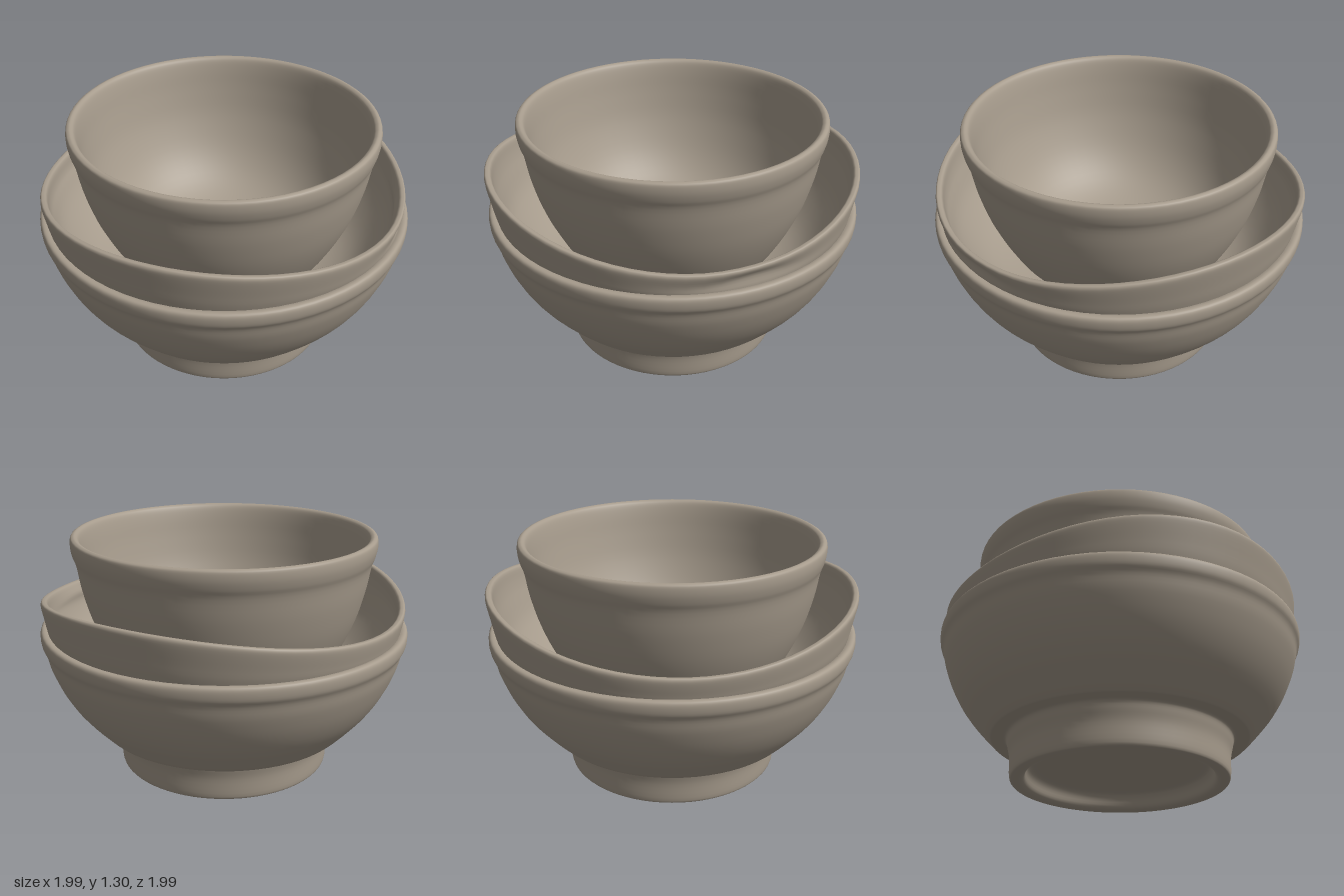
import * as THREE from 'three';
import { mergeVertices } from 'three/addons/utils/BufferGeometryUtils.js';

const clay = new THREE.MeshStandardMaterial({ color: 0xa69b8c });
clay.name = 'clay';

// Smooth closed-wall bowl turned from a profile; warp moves each vertex by a rule
function bowl(name, points, warp) {
  const curve = new THREE.SplineCurve(points.map(([r, y]) => new THREE.Vector2(r, y)));
  const profile = curve.getPoints((points.length - 1) * 4);
  profile.forEach(p => { p.x = Math.max(p.x, 0); });
  profile[0].x = profile[profile.length - 1].x = 0;
  let geo = new THREE.LatheGeometry(profile, 72);
  geo.deleteAttribute('uv');
  geo.deleteAttribute('normal');
  geo = mergeVertices(geo, 1e-5);
  const pos = geo.attributes.position;
  const v = new THREE.Vector3();
  for (let i = 0; warp && i < pos.count; i++) {
    v.fromBufferAttribute(pos, i);
    warp(v);
    pos.setXYZ(i, v.x, v.y, v.z);
  }
  geo.computeVertexNormals();
  const mesh = new THREE.Mesh(geo, clay);
  mesh.name = name;
  return mesh;
}

// Uneven hand-made rim: high at front and back, low at the sides, dented on the left
function saddle(v) {
  const a = Math.atan2(v.z, v.x);
  const w = THREE.MathUtils.smoothstep(v.y, 0.72, 0.96);
  const dent = Math.exp(-(((a + 0.15) / 0.35) ** 2)) * Math.exp(-(((v.y - 0.9) / 0.05) ** 2));
  const wave = -Math.cos(2 * a);
  const s = 1 + 0.012 * w * wave - 0.018 * dent;
  v.x *= s;
  v.z *= s;
  v.y += w * 0.065 * wave - 0.012 * dent * Math.sin(9 * a);
}

export function createModel() {
  const group = new THREE.Group();
  group.name = 'stackedBowls';

  // Large bowl with a recessed foot ring
  group.add(bowl('largeBowl', [
    [0, 0.1], [0.25, 0.1], [0.44, 0.095], [0.485, 0.07], [0.505, 0.02], [0.53, 0.003],
    [0.565, 0.003], [0.583, 0.02], [0.588, 0.12], [0.6, 0.18], [0.612, 0.222], [0.64, 0.23],
    [0.68, 0.23], [0.71, 0.245], [0.83, 0.38], [0.905, 0.5], [0.955, 0.62], [0.975, 0.7],
    [0.993, 0.74], [0.996, 0.785], [0.985, 0.806], [0.96, 0.806], [0.94, 0.785],
    [0.92, 0.68], [0.8, 0.45], [0.6, 0.3], [0.3, 0.27], [0, 0.27],
  ]));

  // Middle bowl with the wavy rim
  group.add(bowl('middleBowl', [
    [0, 0.32], [0.3, 0.32], [0.55, 0.35], [0.78, 0.5], [0.9, 0.66], [0.952, 0.79],
    [0.97, 0.87], [0.984, 0.945], [0.982, 0.97], [0.97, 0.976], [0.95, 0.965],
    [0.94, 0.9], [0.92, 0.83], [0.86, 0.69], [0.71, 0.52], [0.5, 0.43], [0.25, 0.41], [0, 0.41],
  ], saddle));

  // Small top bowl with a rolled lip
  group.add(bowl('smallBowl', [
    [0, 0.42], [0.3, 0.42], [0.45, 0.46], [0.56, 0.55], [0.65, 0.7], [0.72, 0.86],
    [0.765, 1.02], [0.788, 1.15], [0.805, 1.2], [0.814, 1.245], [0.812, 1.285], [0.8, 1.297],
    [0.785, 1.297], [0.768, 1.28], [0.752, 1.22], [0.73, 1.1], [0.69, 0.94], [0.61, 0.76],
    [0.5, 0.63], [0.35, 0.55], [0.17, 0.52], [0, 0.515],
  ]));

  return group;
}
